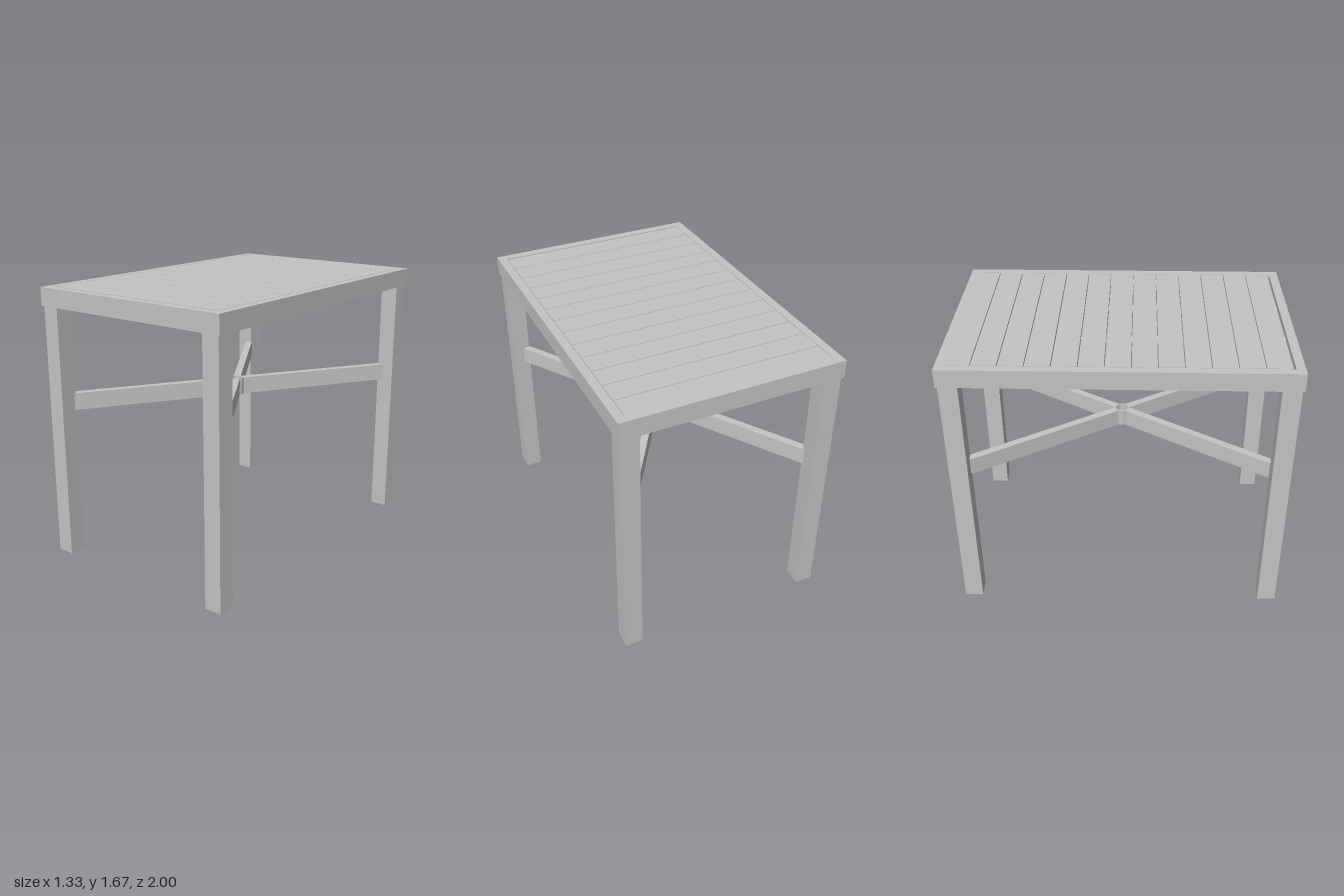
import * as THREE from 'three';

const metal = new THREE.MeshStandardMaterial({ color: 0xc4c4c4 });
metal.name = 'light grey metal';

function add(parent, name, geometry, x = 0, y = 0, z = 0) {
  const mesh = new THREE.Mesh(geometry, metal);
  mesh.name = name;
  mesh.position.set(x, y, z);
  parent.add(mesh);
  return mesh;
}

// Rectangular tube standing on y = 0, with its hole open at both ends
function boxTube(w, d, wallX, wallZ, height) {
  const rect = (P, a, b) => new P([
    new THREE.Vector2(-a, -b), new THREE.Vector2(a, -b),
    new THREE.Vector2(a, b), new THREE.Vector2(-a, b)]);
  const shape = rect(THREE.Shape, w / 2, d / 2);
  shape.holes.push(rect(THREE.Path, w / 2 - wallX, d / 2 - wallZ));
  return new THREE.ExtrudeGeometry(shape, { depth: height, bevelEnabled: false }).rotateX(-Math.PI / 2);
}

// Round tube standing on y = 0
function roundTube(outer, inner, height) {
  const shape = new THREE.Shape().absarc(0, 0, outer, 0, Math.PI * 2);
  shape.holes.push(new THREE.Path().absarc(0, 0, inner, 0, Math.PI * 2, true));
  return new THREE.ExtrudeGeometry(shape, { depth: height, bevelEnabled: false, curveSegments: 24 }).rotateX(-Math.PI / 2);
}

export function createModel() {
  const table = new THREE.Group();
  table.name = 'slattedTable';

  // Table top: rim and thirteen slats
  add(table, 'topFrame', boxTube(1.33, 2, 0.052, 0.053, 0.11), 0, 1.56, 0);
  const slats = new THREE.Group();
  slats.name = 'slats';
  table.add(slats);
  const pitch = 0.1455;
  for (let i = 0; i < 13; i++) {
    add(slats, 'slat', new THREE.BoxGeometry(1.218, 0.028, pitch - 0.005), 0, 1.656, -0.8825 + i * pitch);
  }

  // Round rails under the slats
  for (const x of [-0.585, -0.2, 0.2, 0.585]) {
    add(table, 'supportRail', new THREE.CylinderGeometry(0.027, 0.027, 1.894, 20).rotateX(Math.PI / 2), x, 1.615, 0);
  }

  // Parasol sleeve under the top, held by two short rods
  add(table, 'upperSleeve', roundTube(0.051, 0.041, 0.122), 0, 1.52, 0);
  for (const s of [-1, 1]) {
    add(table, 'sleeveRod', new THREE.CylinderGeometry(0.018, 0.018, 0.145, 16).rotateZ(Math.PI / 2), s * 0.118, 1.612, 0);
  }

  // Hollow legs and diagonal braces meeting at the lower sleeve
  add(table, 'lowerSleeve', roundTube(0.044, 0.036, 0.105), 0, 0.92, 0);
  const start = 0.041, end = 1.05;
  for (const sx of [-1, 1]) {
    for (const sz of [-1, 1]) {
      add(table, 'leg', boxTube(0.107, 0.11, 0.006, 0.006, 1.56), sx * 0.599, 0, sz * 0.935);
      const dir = new THREE.Vector3(sx * 0.599, 0, sz * 0.935).normalize();
      const mid = (start + end) / 2;
      const brace = add(table, 'brace', new THREE.BoxGeometry(0.046, 0.105, end - start), dir.x * mid, 0.9725, dir.z * mid);
      brace.rotation.y = Math.atan2(dir.x, dir.z);
    }
  }
  return table;
}
